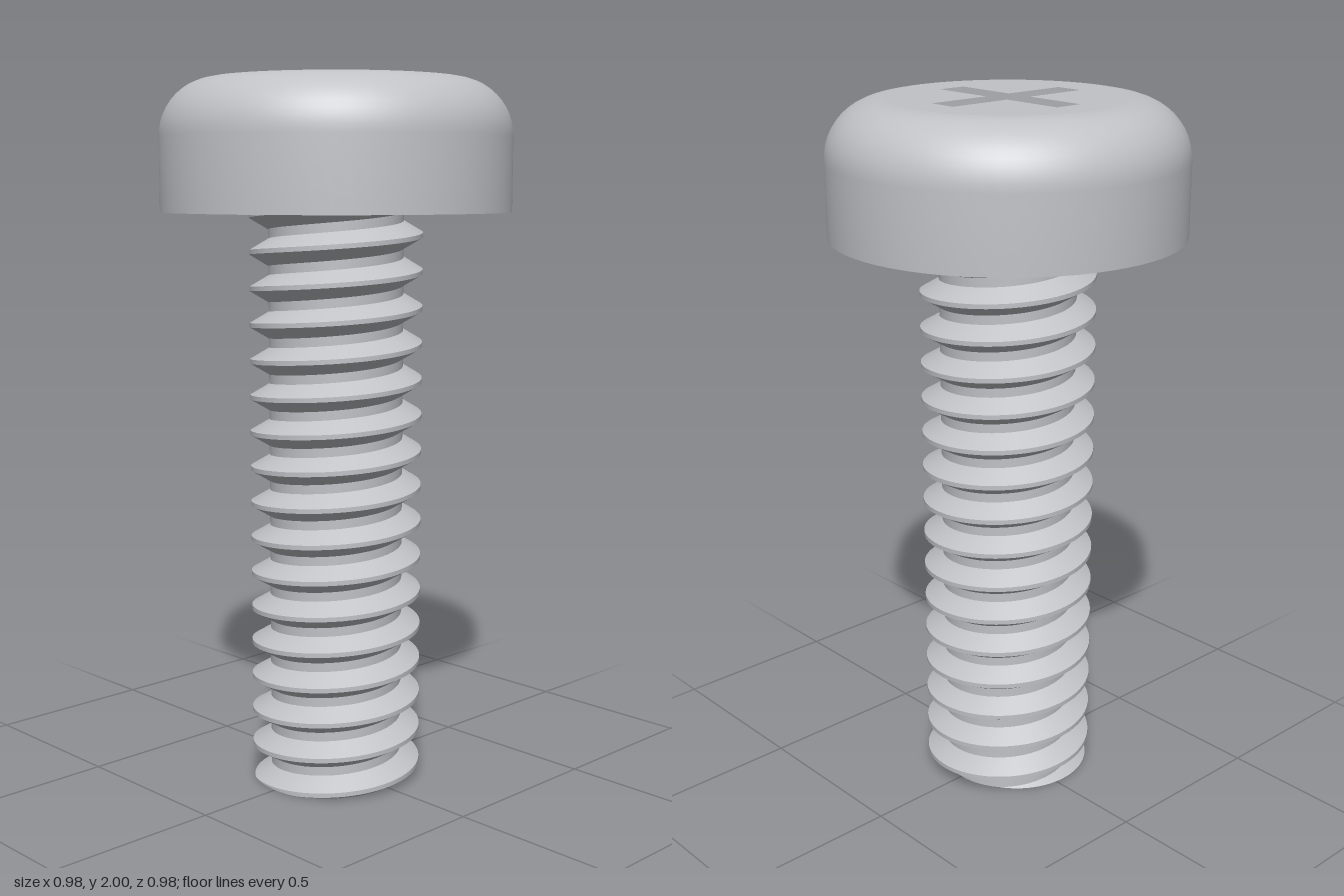
import * as THREE from 'three';
import { toCreasedNormals } from 'three/addons/utils/BufferGeometryUtils.js';

const UNDER_HEAD = 1.635, TOP = 2, HEAD_R = 0.49, FLAT_R = 0.33, SEGMENTS = 64;
const TURNS = 16, PITCH = UNDER_HEAD / TURNS, CREST_R = 0.244, ROOT_R = 0.19, FIRST_CREST = 0.027;
const CREST_HALF = PITCH / 16, FLANK = PITCH * 0.3125;
const RECESS_DEPTH = 0.2;

// Plus-shaped outline of the driver recess
function crossPoints(long, half) {
  return [
    [half, half], [half, long], [-half, long], [-half, half], [-long, half], [-long, -half],
    [-half, -half], [-half, -long], [half, -long], [half, -half], [long, -half], [long, half],
  ].map(([x, y]) => new THREE.Vector2(x, y));
}

// Radius of the thread at a height, given the height of any crest on that side
function threadRadius(y, crest) {
  const turns = (y - crest) / PITCH;
  const d = Math.abs(turns - Math.round(turns)) * PITCH;
  const t = THREE.MathUtils.clamp((d - CREST_HALF) / FLANK, 0, 1);
  return THREE.MathUtils.lerp(CREST_R, ROOT_R, t);
}

// Right-handed helical surface, cut flat at both ends
function threadGeometry() {
  const offsets = [-CREST_HALF - FLANK, -CREST_HALF, CREST_HALF, CREST_HALF + FLANK];
  const columns = [];
  for (let i = 0; i <= SEGMENTS; i++) {
    const angle = (i / SEGMENTS) * Math.PI * 2;
    const crest = FIRST_CREST + PITCH * (i / SEGMENTS);
    const column = [];
    for (let k = -2; k <= TURNS + 1; k++) {
      for (const offset of offsets) {
        const y = THREE.MathUtils.clamp(crest + k * PITCH + offset, 0, UNDER_HEAD);
        const r = threadRadius(y, crest);
        column.push(new THREE.Vector3(r * Math.cos(angle), y, -r * Math.sin(angle)));
      }
    }
    columns.push(column);
  }

  const positions = [];
  const addTriangle = (a, b, c) => {
    if (new THREE.Triangle(a, b, c).getArea() < 1e-9) return;
    for (const p of [a, b, c]) positions.push(p.x, p.y, p.z);
  };
  const tipCentre = new THREE.Vector3(0, 0, 0);
  for (let i = 0; i < SEGMENTS; i++) {
    const a = columns[i], b = columns[i + 1];
    for (let j = 0; j < a.length - 1; j++) {
      addTriangle(a[j], b[j], b[j + 1]);
      addTriangle(a[j], b[j + 1], a[j + 1]);
    }
    addTriangle(tipCentre, b[0], a[0]);
  }
  const geometry = new THREE.BufferGeometry();
  geometry.setAttribute('position', new THREE.Float32BufferAttribute(positions, 3));
  return toCreasedNormals(geometry, Math.PI / 9);
}

// Underside, straight rim and rounded shoulder of the head
function headGeometry() {
  const profile = [new THREE.Vector2(0, UNDER_HEAD), new THREE.Vector2(HEAD_R, UNDER_HEAD)];
  const round = HEAD_R - FLAT_R;
  for (let i = 0; i <= 12; i++) {
    const a = (i / 12) * Math.PI / 2;
    profile.push(new THREE.Vector2(FLAT_R + round * Math.cos(a), TOP - round + round * Math.sin(a)));
  }
  return toCreasedNormals(new THREE.LatheGeometry(profile, SEGMENTS), Math.PI / 6);
}

export function createModel() {
  const model = new THREE.Group();
  const steel = new THREE.MeshStandardMaterial({ color: 0xc0c2c6 });
  steel.name = 'steel';

  const add = (name, geometry) => {
    const mesh = new THREE.Mesh(geometry, steel);
    mesh.name = name;
    model.add(mesh);
    return mesh;
  };

  add('threadedShank', threadGeometry());
  add('head', headGeometry());

  // Flat crown pierced by the recess; its thickness forms the recess walls
  const cross = crossPoints(0.227, 0.041);
  const disc = new THREE.Shape().absarc(0, 0, FLAT_R, 0, Math.PI * 2, false);
  disc.holes.push(new THREE.Path(cross));
  const crown = add('headCrown', new THREE.ExtrudeGeometry(disc, {
    depth: RECESS_DEPTH, bevelEnabled: false, curveSegments: SEGMENTS / 2,
  }));
  crown.rotation.x = -Math.PI / 2;
  crown.position.y = TOP - RECESS_DEPTH;

  const floor = add('recessFloor', new THREE.ShapeGeometry(new THREE.Shape(cross)));
  floor.rotation.x = -Math.PI / 2;
  floor.position.y = TOP - RECESS_DEPTH;

  return model;
}
